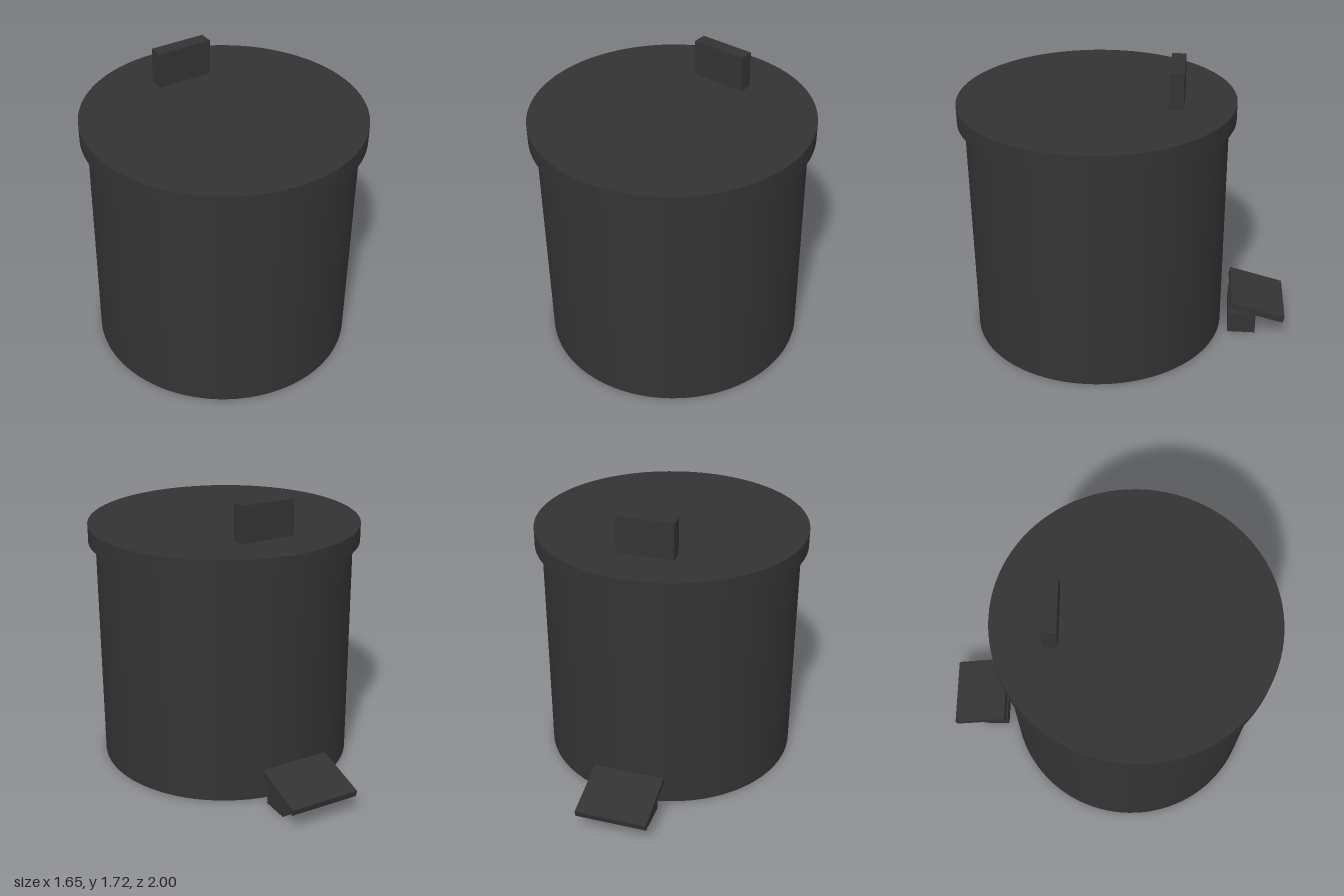
import * as THREE from 'three';

export function createModel() {
  const model = new THREE.Group();
  const material = new THREE.MeshStandardMaterial({ color: 0x333333 });

  const add = (name, geometry, x, y, z) => {
    const mesh = new THREE.Mesh(geometry, material);
    mesh.name = name;
    mesh.position.set(x, y, z);
    model.add(mesh);
    return mesh;
  };

  // Round bin and overhanging lid share one axis
  const axisZ = 0.177;
  add('body', new THREE.CylinderGeometry(0.78, 0.78, 1.39, 96), 0, 0.695, axisZ);
  add('lid', new THREE.CylinderGeometry(0.823, 0.823, 0.11, 96), 0, 1.445, axisZ);

  // Upright grip on the lid
  add('lidHandle', new THREE.BoxGeometry(0.345, 0.22, 0.086), 0, 1.61, -0.295);

  // Foot pedal sloping down and away behind its support block
  add('pedalBase', new THREE.BoxGeometry(0.345, 0.13, 0.173), 0, 0.065, -0.737);
  const pedal = add('pedal', new THREE.BoxGeometry(0.43, 0.04, 0.347), 0, 0.176, -0.827);
  pedal.rotation.x = -THREE.MathUtils.degToRad(15);

  return model;
}
